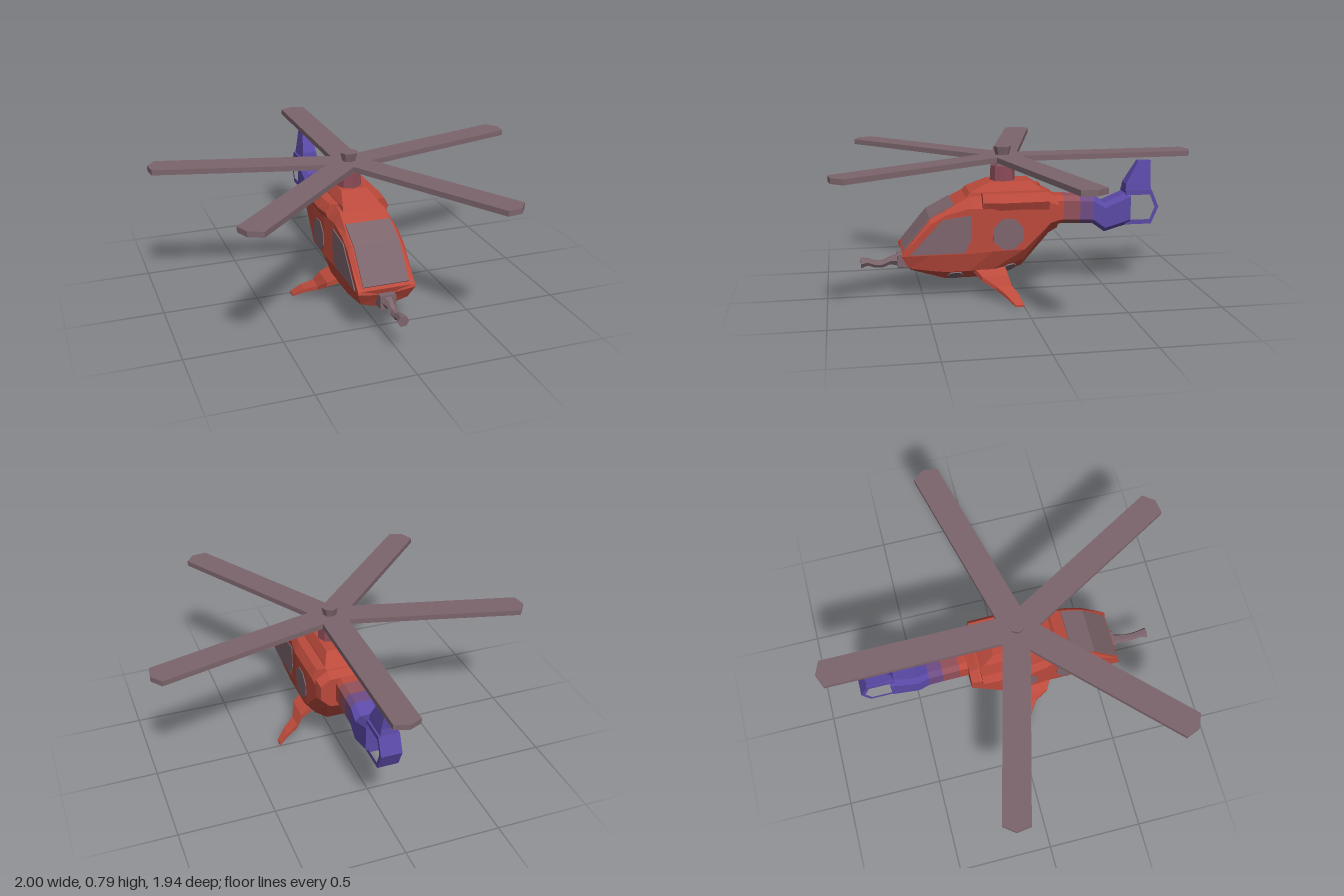
import * as THREE from 'three';

const paint = (name, color) => Object.assign(new THREE.MeshStandardMaterial({ color }), { name });

// Flat-faced copy of a geometry
function faceted(geo) {
  const g = geo.index ? geo.toNonIndexed() : geo;
  g.computeVertexNormals();
  return g;
}

// Closed skin through rings of [x, y, z] points, capped at both ends
function loft(rings) {
  const tris = [];
  const n = rings[0].length;
  const centre = r => [0, 1, 2].map(k => r.reduce((s, p) => s + p[k], 0) / n);
  const first = rings[0], last = rings[rings.length - 1];
  const c0 = centre(first), c1 = centre(last);
  for (let j = 0; j < n; j++) {
    const k = (j + 1) % n;
    for (let i = 0; i < rings.length - 1; i++) {
      const a = rings[i][j], b = rings[i][k], c = rings[i + 1][k], d = rings[i + 1][j];
      tris.push([a, b, c], [a, c, d]);
    }
    tris.push([c0, first[k], first[j]], [c1, last[j], last[k]]);
  }
  // Turn all faces outward using the signed volume
  let volume = 0;
  const v = p => new THREE.Vector3(...p);
  for (const [a, b, c] of tris) volume += v(a).dot(v(b).cross(v(c)));
  if (volume < 0) tris.forEach(t => t.reverse());
  const g = new THREE.BufferGeometry();
  g.setAttribute('position', new THREE.Float32BufferAttribute(tris.flat(2), 3));
  g.computeVertexNormals();
  return g;
}

// Ring symmetrical about x = 0 from its +x half, bottom to top
const mirrorRing = half => [...half, ...half.slice().reverse().map(([x, y, z]) => [-x, y, z])];

// Chamfered box section for booms and covers
function boxRing(z, y0, y1, w, c) {
  return mirrorRing([[w - c, y0, z], [w, y0 + c, z], [w, y1 - c, z], [w - c, y1, z]]);
}

// Outline in (z, y) extruded along x, centred on x
function sidePlate(points, x, thickness, hole) {
  const flip = list => list.map(([z, y]) => new THREE.Vector2(-z, y));
  const shape = new THREE.Shape(flip(points));
  if (hole) shape.holes.push(new THREE.Path(flip(hole)));
  const g = new THREE.ExtrudeGeometry(shape, { depth: thickness, bevelEnabled: false });
  return g.rotateY(Math.PI / 2).translate(x - thickness / 2, 0, 0);
}

export function createModel() {
  const model = new THREE.Group();
  model.name = 'helicopter';
  const red = paint('bodyRed', 0xbb4a3c);
  const grey = paint('mauveGrey', 0x7c656c);
  const maroon = paint('mastMaroon', 0x8b4a56);
  const plum = paint('tailPlum', 0x92505a);
  const violet = paint('tailViolet', 0x6e4c84);
  const purple = paint('tailPurple', 0x5b49a6);
  const add = (name, geo, mat) => {
    const m = new THREE.Mesh(geo, mat);
    m.name = name;
    model.add(m);
    return m;
  };

  // Fuselage: nose to tail root
  const section = (z, ...pts) => mirrorRing(pts.map(([x, y]) => [x, y, z]));
  add('fuselage', loft([
    mirrorRing([[0.05, 0.15, 0.56], [0.125, 0.18, 0.575], [0.15, 0.25, 0.615], [0.15, 0.258, 0.612], [0.13, 0.262, 0.608]]),
    section(0.46, [0.05, 0.12], [0.125, 0.16], [0.15, 0.25], [0.15, 0.415], [0.13, 0.44]),
    section(0.38, [0.05, 0.095], [0.125, 0.15], [0.15, 0.25], [0.15, 0.46], [0.13, 0.482]),
    section(0.26, [0.05, 0.095], [0.125, 0.15], [0.15, 0.25], [0.15, 0.49], [0.12, 0.545]),
    section(0.14, [0.05, 0.095], [0.125, 0.15], [0.165, 0.26], [0.165, 0.49], [0.11, 0.555]),
    section(-0.03, [0.05, 0.15], [0.12, 0.2], [0.165, 0.265], [0.165, 0.5], [0.11, 0.555]),
    section(-0.17, [0.05, 0.325], [0.1, 0.335], [0.16, 0.4], [0.16, 0.51], [0.1, 0.55]),
    section(-0.215, [0.05, 0.355], [0.1, 0.36], [0.15, 0.41], [0.15, 0.49], [0.1, 0.525]),
  ]), red);

  // Engine cover on the roof
  const rect = (y, w, z0, z1) => [[w, y, z0], [w, y, z1], [-w, y, z1], [-w, y, z0]];
  add('engineCover', loft([rect(0.54, 0.105, 0.27, -0.17), rect(0.565, 0.1, 0.25, -0.14), rect(0.612, 0.07, 0.14, -0.08)]), red);

  // Windscreen, bent to follow the nose
  add('windscreen', loft([[0.597, 0.276], [0.46, 0.44], [0.335, 0.506]].map(([z, y]) =>
    [[0.12, y, z], [0.12, y + 0.005, z + 0.004], [-0.12, y + 0.005, z + 0.004], [-0.12, y, z]])), grey);

  const windowOutline = [[0.57, 0.256], [0.4, 0.436], [0.25, 0.455], [0.25, 0.33], [0.285, 0.256]];
  const portholeOutline = Array.from({ length: 8 }, (_, i) => {
    const a = (i + 0.5) * Math.PI / 4;
    return [0.057 + 0.085 * Math.cos(a), 0.35 + 0.088 * Math.sin(a)];
  });
  for (const [side, s] of [['left', 1], ['right', -1]]) {
    // Side glass
    add(side + 'Window', sidePlate(windowOutline, s * 0.151, 0.009), grey);
    add(side + 'Porthole', sidePlate(portholeOutline, s * 0.165, 0.009), grey);

    // Shoulder pod along the roof edge
    const pod = (z, k) => [[0.1, 0.56], [0.1 + 0.055 * k, 0.565], [0.1 + 0.085 * k, 0.52], [0.1 + 0.055 * k, 0.455]]
      .map(([x, y]) => [s * x, y, z]);
    add(side + 'Pod', loft([pod(0.19, 0.85), pod(0.1, 1), pod(-0.16, 0.95)]), red);

    // Belly lamps
    for (const [z, y, tilt] of [[0.33, 0.124, 0], [0.045, 0.152, 0.32]]) {
      const lamp = add(side + 'BellyLamp', faceted(new THREE.CylinderGeometry(0.042, 0.042, 0.012, 8)), grey);
      lamp.position.set(s * 0.09, y, z);
      lamp.rotation.set(tilt, 0, s * 0.63);
    }

    // Splayed landing leg, swept back to a narrow foot
    const leg = [[0.08, 0.15, 0.25, 0.07, 0.03], [0.17, 0.105, 0.2, 0.06, 0.025], [0.2, 0.06, 0.13, 0.045, 0.022],
      [0.265, 0.033, 0.085, 0.02, 0.018], [0.315, 0, 0.045, 0.0, 0.01]];
    add(side + 'Leg', loft(leg.map(([x, y, z0, z1, t]) =>
      [[s * x, y, z0], [s * x, y, z1], [s * x, y + t, z1], [s * x, y + t, z0]])), red);
  }

  // Nose gun: square mount and kinked barrel
  add('gunMount', loft([boxRing(0.53, 0.16, 0.235, 0.042, 0.004), boxRing(0.63, 0.16, 0.235, 0.042, 0.004)]), grey);
  const hexRing = (z, y, r) => Array.from({ length: 6 }, (_, i) =>
    [r * Math.cos(i * Math.PI / 3), y + r * Math.sin(i * Math.PI / 3), z]);
  add('gunBarrel', loft([hexRing(0.625, 0.197, 0.034), hexRing(0.665, 0.195, 0.023), hexRing(0.705, 0.177, 0.021),
    hexRing(0.745, 0.178, 0.021), hexRing(0.785, 0.191, 0.021), hexRing(0.82, 0.187, 0.03)]), grey);

  // Tail boom in colour bands
  const boom = [[-0.19, 0.365, 0.525], [-0.26, 0.368, 0.52], [-0.35, 0.365, 0.515], [-0.425, 0.36, 0.51],
    [-0.49, 0.312, 0.472], [-0.63, 0.352, 0.53]].map(([z, y0, y1]) => boxRing(z, y0, y1, 0.068, 0.025));
  add('boomRoot', loft(boom.slice(0, 2)), red);
  add('boomFrontBand', loft(boom.slice(1, 3)), plum);
  add('boomMiddleBand', loft(boom.slice(2, 4)), violet);
  add('boomEnd', loft(boom.slice(3)), purple);

  // Open tail ring and fin
  add('tailRing', sidePlate(
    [[-0.605, 0.535], [-0.75, 0.535], [-0.79, 0.44], [-0.75, 0.348], [-0.605, 0.348]], 0, 0.11,
    [[-0.63, 0.51], [-0.74, 0.51], [-0.768, 0.44], [-0.74, 0.373], [-0.63, 0.373]]), purple);
  add('tailFin', loft([rect(0.53, 0.045, -0.605, -0.75), rect(0.57, 0.04, -0.61, -0.745), rect(0.69, 0.02, -0.68, -0.75)]), purple);

  // Rotor mast
  const mastZ = 0.062;
  add('mastBase', faceted(new THREE.CylinderGeometry(0.063, 0.068, 0.085, 8)), maroon).position.set(0, 0.648, mastZ);
  const mast = [[0, 0.65], [0.055, 0.65], [0.035, 0.74], [0.047, 0.79], [0, 0.79]].map(p => new THREE.Vector2(...p));
  add('mast', faceted(new THREE.LatheGeometry(mast, 8)), grey).position.z = mastZ;

  // Five rotor blades with pointed tips
  const outline = [[0, -0.07], [1.003, -0.07], [1.032, 0], [1.003, 0.07], [0, 0.07]].map(p => new THREE.Vector2(...p));
  const bladeGeo = new THREE.ExtrudeGeometry(new THREE.Shape(outline), { depth: 0.028, bevelEnabled: false }).rotateX(-Math.PI / 2);
  for (const angle of [90, 14.5, 165.5, -60, -135]) {
    const blade = add('rotorBlade', bladeGeo, grey);
    blade.position.set(0, 0.718, mastZ);
    blade.rotation.y = THREE.MathUtils.degToRad(angle);
  }
  return model;
}
